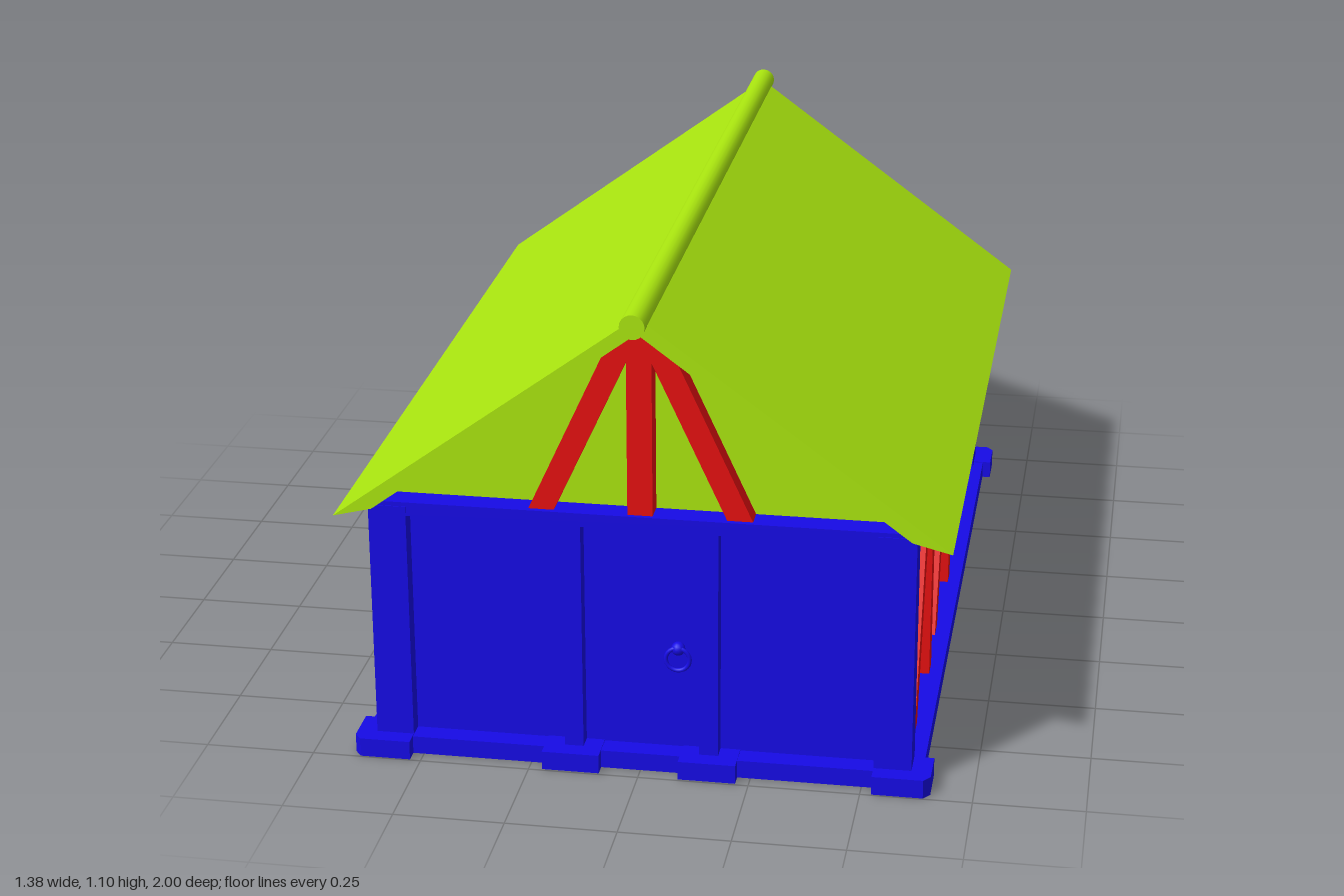
import * as THREE from 'three';

const mat = (color) => new THREE.MeshStandardMaterial({ color });

export function createModel() {
  const house = new THREE.Group();
  house.name = 'house';
  const blue = mat(0x160be6), red = mat(0xe61010), lime = mat(0xaae60f), teal = mat(0x107a7e);

  const add = (name, geometry, material) => {
    const mesh = new THREE.Mesh(geometry, material);
    mesh.name = name;
    house.add(mesh);
    return mesh;
  };
  // Box given by its limits on each axis
  const box = (name, material, x0, x1, y0, y1, z0, z1) => {
    const mesh = add(name, new THREE.BoxGeometry(Math.abs(x1 - x0), y1 - y0, z1 - z0), material);
    mesh.position.set((x0 + x1) / 2, (y0 + y1) / 2, (z0 + z1) / 2);
    return mesh;
  };
  // Outline in x/y pushed from z0 to z1
  const slab = (name, material, points, z0, z1, holePoints) => {
    const shape = new THREE.Shape(points.map(([x, y]) => new THREE.Vector2(x, y)));
    if (holePoints) shape.holes.push(new THREE.Path(holePoints.map(([x, y]) => new THREE.Vector2(x, y))));
    const g = new THREE.ExtrudeGeometry(shape, { depth: z1 - z0, bevelEnabled: false });
    return add(name, g.translate(0, 0, z0), material);
  };
  const rect = (a, b, c, d) => [[a, c], [b, c], [b, d], [a, d]];
  // Outline in z/y on a side wall, from x0 to x1 outwards
  const sideSlab = (name, material, side, points, x0, x1, holePoints) => {
    const flip = (list) => list && list.map(([z, y]) => [-side * z, y]);
    const mesh = slab(name, material, flip(points), x0, x1, flip(holePoints));
    mesh.rotation.y = side * Math.PI / 2;
    return mesh;
  };

  // Sill and recessed wall panels
  box('sill', blue, -0.635, 0.635, 0, 0.042, -0.945, 0.965);
  box('wallPanels', blue, -0.575, 0.575, 0.04, 0.605, -0.885, 0.915);

  // Top beams on all four walls
  box('frontTopBeam', blue, -0.59, 0.59, 0.583, 0.615, 0.87, 0.953);
  box('backTopBeam', blue, -0.59, 0.59, 0.583, 0.615, -0.918, -0.85);

  for (const s of [-1, 1]) {
    box('sideTopBeam', blue, s * 0.55, s * 0.605, 0.565, 0.6, -0.9, 0.93);

    // Corner posts and the chamfered pads beneath them
    for (const [end, z0, z1, padEnd] of [[1, 0.88, 0.955, 0.997], [-1, -0.92, -0.83, -0.972]]) {
      box('cornerPost', blue, s * 0.525, s * 0.61, 0.03, 0.605, z0, z1);
      const inner = padEnd - end * 0.11;
      const pad = slab('cornerPad', blue, [
        [s * 0.525, -inner], [s * 0.655, -inner], [s * 0.655, -padEnd + end * 0.02],
        [s * 0.64, -padEnd], [s * 0.525, -padEnd],
      ], 0, 0.044);
      pad.rotation.x = -Math.PI / 2;
    }

    // Door posts with pads
    box('doorPost', blue, s * 0.132, s * 0.175, 0.03, 0.59, 0.9, 0.953);
    box('doorPostPad', blue, s * 0.09, s * 0.22, 0, 0.044, 0.88, 0.995);

    // Back wall posts
    box('backPost', red, s * 0.195, s * 0.25, 0.04, 0.585, -0.915, -0.87);

    // Timber on the side walls
    for (const z of [0.437, -0.088])
      box('sidePost', red, s * 0.56, s * 0.605, 0.04, 0.585, z - 0.027, z + 0.027);
    for (const [bottom, top] of [[0.748, 0.495], [0.222, -0.025], [-0.803, -0.557]])
      sideSlab('sideBrace', red, s, [
        [bottom - 0.03, 0.04], [bottom + 0.03, 0.04], [top + 0.03, 0.58], [top - 0.03, 0.58],
      ], 0.56, 0.6);

    // Window: raised frame around a set-back pane
    sideSlab('windowFrame', teal, s, rect(-0.55, -0.23, 0.175, 0.455), 0.56, 0.613,
      rect(-0.505, -0.277, 0.222, 0.408));
    sideSlab('windowPane', teal, s, rect(-0.52, -0.26, 0.21, 0.42), 0.56, 0.59);

    // Roof slope, tapering to the eave
    slab('roofSlope', lime, [
      [0, 1.083], [s * 0.688, 0.578], [s * 0.6, 0.6], [0, 1.045],
    ], -0.955, 0.965);
  }

  // Gable walls and their timber
  for (const [z0, z1, b0, b1] of [[0.85, 0.895, 0.88, 0.943], [-0.86, -0.815, -0.91, -0.845]]) {
    slab('gable', lime, [[-0.59, 0.605], [0.59, 0.605], [0, 1.05]], z0, z1);
    slab('gablePost', red, [
      [-0.028, 0.61], [0.028, 0.61], [0.028, 1.025], [0, 1.046], [-0.028, 1.025],
    ], b0, b1);
    for (const s of [-1, 1])
      slab('gableBrace', red, [
        [s * 0.195, 0.61], [s * 0.252, 0.61], [s * 0.078, 0.988], [s * 0.01, 1.038], [s * 0.01, 1.01],
      ], b0 + 0.002, b1 - 0.002);
  }

  // Ridge pole
  const ridge = add('ridgePole', new THREE.CylinderGeometry(0.028, 0.028, 2, 20), lime);
  ridge.rotation.x = Math.PI / 2;
  ridge.position.set(-0.004, 1.072, 0);

  // Door ring and its mount
  const ring = add('doorRing', new THREE.TorusGeometry(0.027, 0.005, 8, 28), blue);
  ring.position.set(0.08, 0.265, 0.928);
  const mount = add('ringMount', new THREE.SphereGeometry(0.016, 14, 10), blue);
  mount.position.set(0.08, 0.288, 0.92);

  return house;
}
